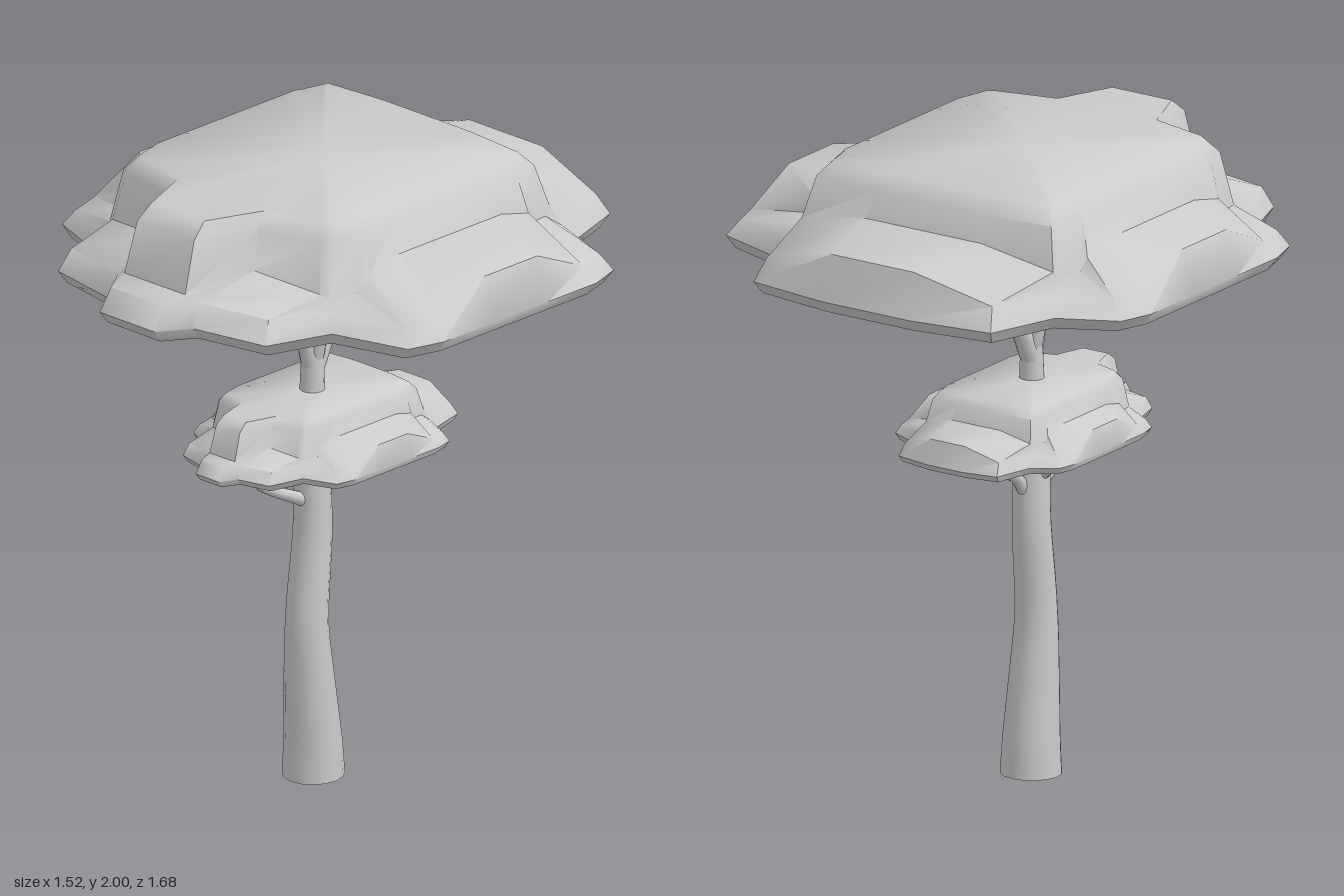
import * as THREE from 'three';
import { toCreasedNormals } from 'three/addons/utils/BufferGeometryUtils.js';

const material = new THREE.MeshStandardMaterial({ color: 0xcccccc });
const LEAN = -0.035; // trunk and crown axis sit a little off centre

// Half of the crown from back to front:
// outer x, z, rim height, plateau x, z, height at the foot of the plateau wall
const HALF = [
  [0.16, -0.84, 0.19, 0.20, -0.50, 0.22],
  [0.435, -0.80, 0.12, 0.435, -0.48, 0.17],
  [0.51, -0.57, 0.10, 0.44, -0.46, 0.14],
  [0.725, -0.48, 0.10, 0.46, -0.38, 0.15],
  [0.76, -0.37, 0.10, 0.47, -0.36, 0.19],
  [0.76, -0.16, 0.19, 0.47, -0.25, 0.22],
  [0.76, 0.08, 0.19, 0.47, 0.17, 0.22],
  [0.76, 0.29, 0.10, 0.47, 0.29, 0.19],
  [0.725, 0.41, 0.10, 0.46, 0.33, 0.14],
  [0.51, 0.48, 0.10, 0.44, 0.41, 0.13],
  [0.435, 0.69, 0.12, 0.41, 0.43, 0.15],
  [0.18, 0.74, 0.12, 0.20, 0.48, 0.18],
  [0.115, 0.84, 0.12, 0.12, 0.68, 0.14],
];

// Crown lofted through stacked outlines, standing on y = 0
function crownGeometry() {
  const rows = [
    ...HALF.map((r) => [1, r]),
    ...[...HALF].reverse().map((r) => [-1, r]),
  ];
  const outer = (k, height) => ([s, r]) =>
    [s * r[0] * k + (r[0] < 0.7 ? LEAN : 0), height ?? r[2], r[1] * k];
  const plateau = (k, height) => ([s, r]) =>
    [s * r[3] * k + LEAN, height ?? r[5], r[4] * k];
  const rings = [
    outer(0.965, 0.01), outer(1, 0.05), outer(0.95),
    plateau(1.06), plateau(0.99, 0.30), plateau(0.91, 0.345),
  ];
  const n = rows.length;
  const positions = rings.flatMap((ring) => rows.flatMap(ring));
  const bottom = rings.length * n;
  positions.push(LEAN, 0, 0, LEAN, 0.355, 0);
  const index = [];
  for (let i = 0; i < n; i++) {
    const j = (i + 1) % n;
    for (let k = 0; k < rings.length - 1; k++) {
      const a = k * n + i, b = k * n + j;
      index.push(a, a + n, b, b, a + n, b + n);
    }
    index.push(bottom, i, j);
    index.push(bottom + 1, bottom - n + j, bottom - n + i);
  }
  const geometry = new THREE.BufferGeometry();
  geometry.setAttribute('position', new THREE.Float32BufferAttribute(positions, 3));
  geometry.setIndex(index);
  return toCreasedNormals(geometry, 0.9);
}

// Tube along a smooth path; each point is [x, y, z, radius]
function taperedTube(name, points, steps, sides) {
  const curve = new THREE.CatmullRomCurve3(points.map((p) => new THREE.Vector3(...p.slice(0, 3))));
  const geometry = new THREE.TubeGeometry(curve, steps, 1, sides);
  const pos = geometry.attributes.position;
  const v = new THREE.Vector3();
  for (let i = 0; i <= steps; i++) {
    const centre = curve.getPointAt(i / steps);
    const t = curve.getUtoTmapping(i / steps) * (points.length - 1);
    const k = Math.min(Math.floor(t), points.length - 2);
    const radius = THREE.MathUtils.lerp(points[k][3], points[k + 1][3], t - k);
    for (let j = 0; j <= sides; j++) {
      const id = i * (sides + 1) + j;
      v.fromBufferAttribute(pos, id).sub(centre).multiplyScalar(radius).add(centre);
      pos.setXYZ(id, v.x, v.y, v.z);
    }
  }
  geometry.computeBoundingSphere();
  return named(name, geometry);
}

function named(name, geometry) {
  const mesh = new THREE.Mesh(geometry, material);
  mesh.name = name;
  return mesh;
}

// Branch in one plane: path of [distance along axis, height]
function branch(name, axis, path, r0, r1) {
  const points = path.map(([d, y], i) => {
    const r = THREE.MathUtils.lerp(r0, r1, i / (path.length - 1));
    return axis === 'x' ? [d, y, 0.037, r] : [LEAN, y, d, r];
  });
  return taperedTube(name, points, 16, 10);
}

export function createModel() {
  const tree = new THREE.Group();
  tree.name = 'tree';

  // Trunk with a slight bend
  const trunk = [
    [0.035, 0, 0.095], [0.037, 0.1, 0.09], [0.052, 0.3, 0.078], [0.063, 0.5, 0.066],
    [0.038, 0.8, 0.06], [0.04, 0.95, 0.057], [0.042, 1.1, 0.048], [0.04, 1.25, 0.038],
    [0.037, 1.45, 0.032], [0.035, 1.67, 0.028],
  ].map(([z, y, r]) => [LEAN, y, z, r]);
  tree.add(taperedTube('trunk', trunk, 30, 16));
  const base = named('trunkBase', new THREE.CircleGeometry(0.095, 16).rotateX(Math.PI / 2));
  base.position.set(LEAN, 0.001, 0.035);
  tree.add(base);

  // Crowns
  const crown = crownGeometry();
  const upper = named('upperCrown', crown);
  upper.position.y = 1.645;
  const lower = named('lowerCrown', crown);
  lower.scale.set(0.415, 0.535, 0.548);
  lower.position.set(-0.025, 1.06, 0.03);
  tree.add(upper, lower);

  // Branches under the upper crown
  tree.add(
    branch('upperBranchLeft', 'x', [[-0.03, 1.36], [0, 1.46], [0.07, 1.53], [0.19, 1.58], [0.29, 1.67]], 0.032, 0.016),
    branch('upperBranchRight', 'x', [[-0.04, 1.36], [-0.075, 1.47], [-0.17, 1.54], [-0.29, 1.57], [-0.4, 1.67]], 0.032, 0.016),
    branch('upperBranchFront', 'z', [[0.04, 1.32], [0.08, 1.42], [0.2, 1.5], [0.32, 1.55], [0.43, 1.67]], 0.032, 0.016),
    branch('upperBranchBack', 'z', [[0.03, 1.32], [-0.03, 1.42], [-0.13, 1.49], [-0.25, 1.53], [-0.37, 1.67]], 0.032, 0.016),
    branch('upperTwig', 'z', [[-0.2, 1.51], [-0.24, 1.56], [-0.25, 1.61], [-0.28, 1.67]], 0.011, 0.007),
  );

  // Branches under the lower crown
  tree.add(
    branch('lowerBranchRight', 'x', [[-0.05, 0.93], [-0.11, 0.98], [-0.2, 1.02], [-0.26, 1.08]], 0.023, 0.011),
    branch('lowerBranchFront', 'z', [[0.06, 0.89], [0.13, 0.925], [0.22, 0.97], [0.28, 1.01], [0.32, 1.08]], 0.023, 0.011),
    branch('lowerBranchBack', 'z', [[0.01, 0.89], [-0.04, 0.95], [-0.13, 1.0], [-0.2, 1.08]], 0.023, 0.011),
    branch('lowerTwig', 'z', [[0.2, 0.96], [0.2, 1.0], [0.215, 1.04], [0.23, 1.08]], 0.009, 0.006),
  );
  return tree;
}
